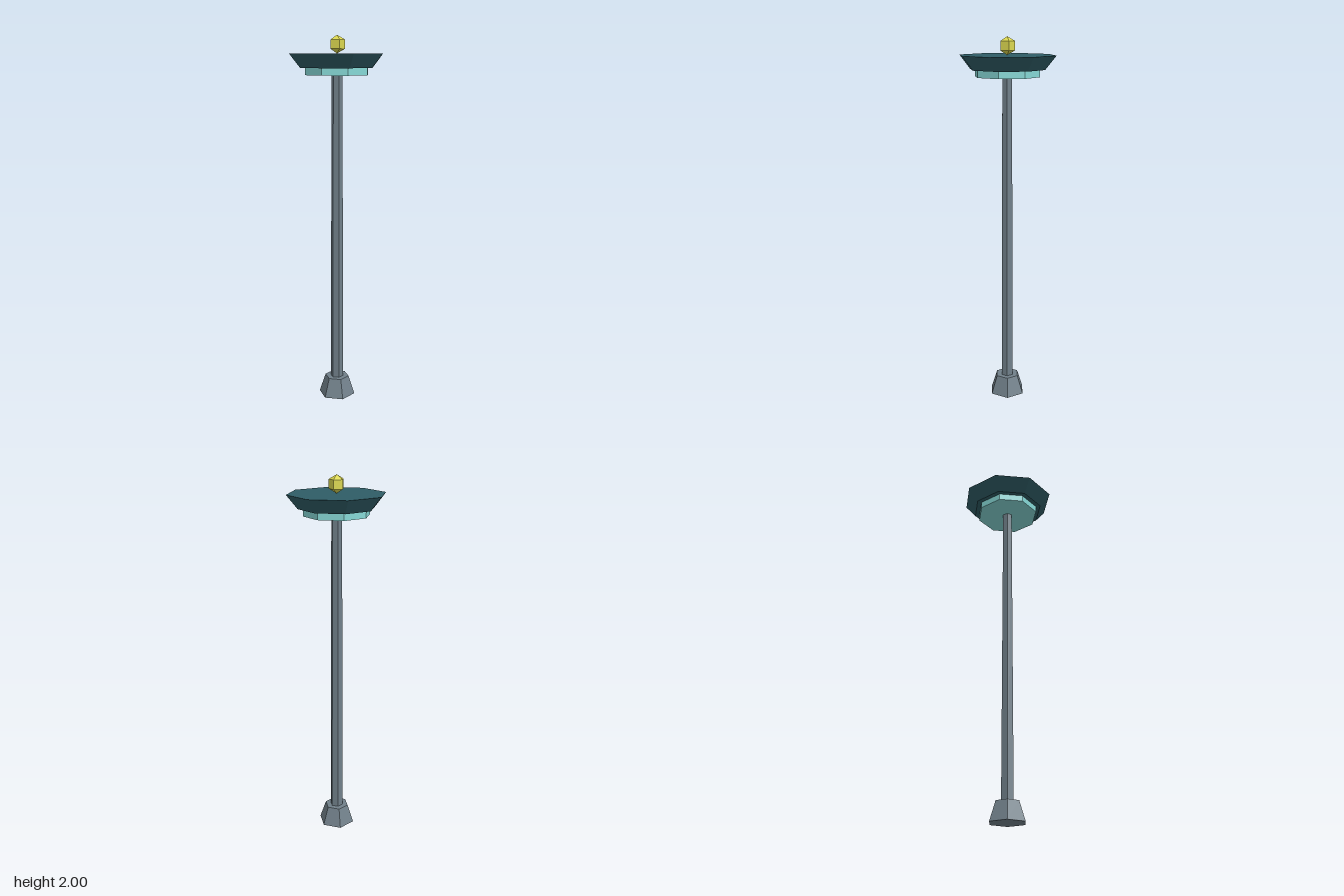
import * as THREE from 'three';

const flat = (name, color) => {
  const m = new THREE.MeshStandardMaterial({ color, flatShading: true });
  m.name = name;
  return m;
};

export function createModel() {
  const group = new THREE.Group();
  group.name = 'streetLamp';

  const steel = flat('steel grey', 0x71808a);
  const teal = flat('dark teal', 0x2f5d66);
  const glow = flat('pale aqua', 0x86d8d6);
  const yellow = flat('yellow', 0xdcd850);

  // Faceted tapered section standing between two heights
  const section = (name, rTop, rBottom, y0, y1, sides, material) => {
    const mesh = new THREE.Mesh(new THREE.CylinderGeometry(rTop, rBottom, y1 - y0, sides), material);
    mesh.name = name;
    mesh.position.y = (y0 + y1) / 2;
    group.add(mesh);
  };

  section('base', 0.067, 0.102, 0, 0.105, 6, steel);
  section('pole', 0.029, 0.036, 0.1, 1.8, 6, steel);
  section('lightPanel', 0.174, 0.174, 1.797, 1.837, 8, glow);
  section('lampHead', 0.258, 0.2, 1.834, 1.906, 8, teal);

  // Five-sided beacon, pointed at both ends
  const r = 0.047;
  const profile = [0, 1, 2, 3].map((i) => {
    const a = (i * Math.PI) / 3;
    return new THREE.Vector2(i % 3 ? r * Math.sin(a) : 0, -r * Math.cos(a));
  });
  const beacon = new THREE.Mesh(new THREE.LatheGeometry(profile, 5), yellow);
  beacon.name = 'beacon';
  beacon.position.y = 2 - r;
  group.add(beacon);

  return group;
}
